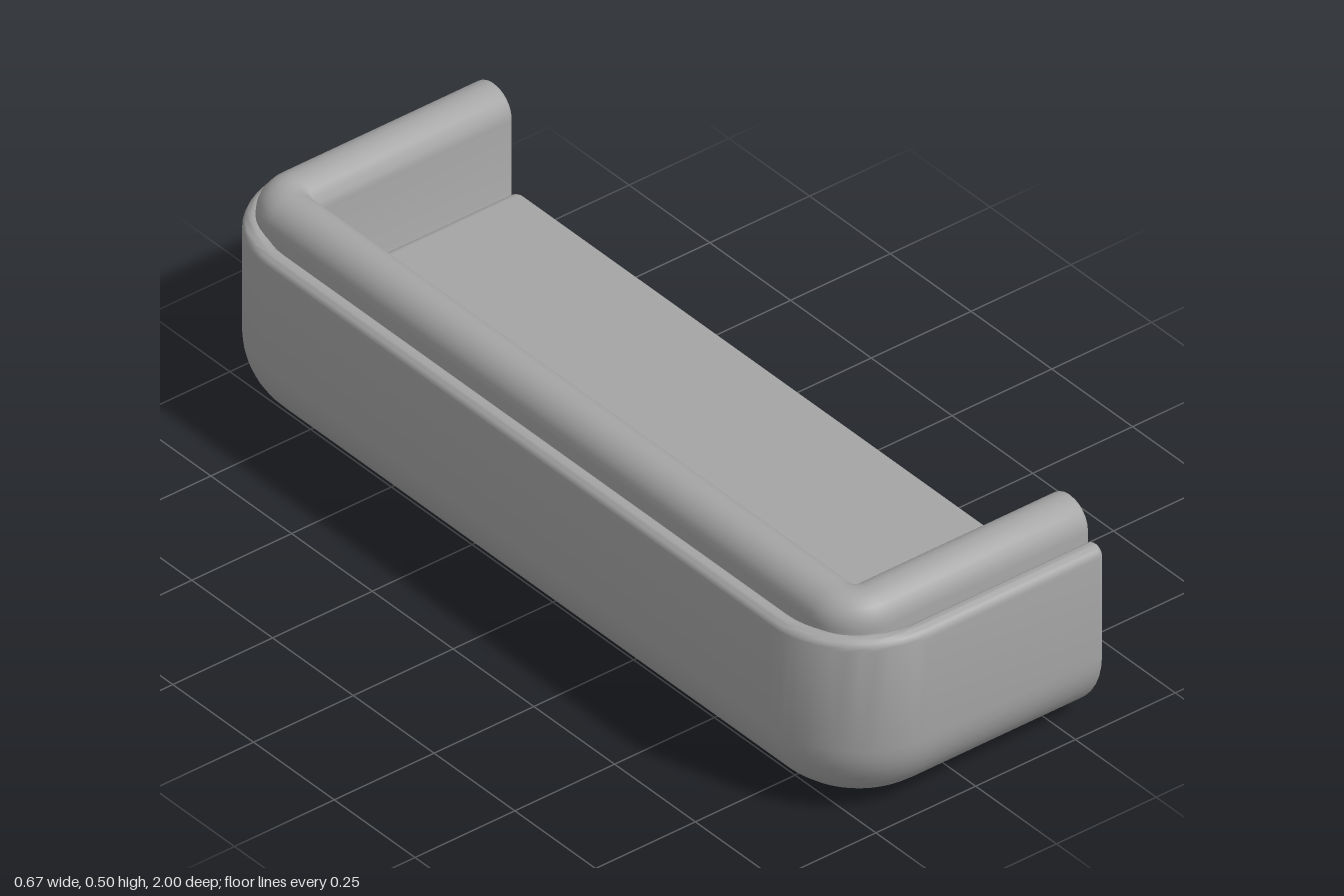
import * as THREE from 'three';
import { toCreasedNormals } from 'three/addons/utils/BufferGeometryUtils.js';
import { RoundedBoxGeometry } from 'three/addons/geometries/RoundedBoxGeometry.js';

const material = new THREE.MeshStandardMaterial({ color: 0xa5a5a5, side: THREE.DoubleSide });
const HALF_PI = Math.PI / 2;

// Wall cross-section as [inset, height], outer floor -> rim -> inner floor, shrunk by e.
function wallProfile(p, e) {
  const pts = [[p.halfWidth, p.bottom + e]];
  const arc = (cd, cy, r, a0, a1, n) => {
    for (let i = 0; i <= n; i++) {
      const a = a0 + (a1 - a0) * i / n;
      pts.push([cd + r * Math.cos(a), cy + r * Math.sin(a)]);
    }
  };
  arc(p.round, p.bottom + p.round, p.round - e, -HALF_PI, -Math.PI, 10);
  arc(p.wall / 2, p.top - p.wall / 2, p.wall / 2 - e, Math.PI, 0, 12);
  arc(p.wall + p.innerRound, p.bottom + p.floor + p.innerRound, p.innerRound + e, Math.PI, Math.PI * 1.5, 8);
  pts.push([p.halfWidth, p.bottom + p.floor - e]);
  return pts;
}

// Tray open at the front (+x): the profile follows a U-shaped plan with round back corners.
function trayLayer(name, p) {
  const straight = p.front - p.bevelDepth;
  const half = [];
  for (let i = 0; i <= 5; i++) {
    const a = HALF_PI * i / 5;
    half.push({ x: straight + p.bevelDepth * Math.cos(a), e: p.bevel * (1 - Math.sin(a)) });
  }
  for (let i = 0; i <= 12; i++) half.push({ angle: HALF_PI * i / 12, e: 0 });
  const columns = [
    ...half.map(c => ({ ...c, side: 1 })),
    ...half.slice().reverse().map(c => ({ ...c, side: -1 })),
  ];

  const positions = [], index = [];
  let rows = 0;
  for (const c of columns) {
    const profile = wallProfile(p, c.e);
    rows = profile.length;
    for (const [d, y] of profile) {
      let x = c.x, z = p.halfWidth - d;
      if (c.angle !== undefined) {
        const r = Math.max(p.corner - d, 0);
        x = Math.min(p.back + d + r * (1 - Math.sin(c.angle)), straight);
        z = z - r * (1 - Math.cos(c.angle));
      }
      positions.push(x, y, z * c.side);
    }
  }
  for (let i = 0; i < columns.length - 1; i++) {
    for (let j = 0; j < rows - 1; j++) {
      const a = i * rows + j, b = a + rows;
      index.push(a, a + 1, b, a + 1, b + 1, b);
    }
  }
  const geometry = new THREE.BufferGeometry();
  geometry.setAttribute('position', new THREE.Float32BufferAttribute(positions, 3));
  geometry.setIndex(index);
  const group = new THREE.Group();
  group.name = name;
  const body = new THREE.Mesh(toCreasedNormals(geometry, 0.6), material);
  body.name = name + 'Body';

  // U-shaped front face
  const outline = wallProfile(p, p.bevel).map(([d, y]) => new THREE.Vector2(p.halfWidth - d, y));
  const mirrored = outline.slice(1, -1).reverse().map(v => new THREE.Vector2(-v.x, v.y));
  const cap = new THREE.ShapeGeometry(new THREE.Shape([...outline, ...mirrored]));
  cap.rotateY(HALF_PI).translate(p.front, 0, 0);
  const face = new THREE.Mesh(cap, material);
  face.name = name + 'Front';
  group.add(body, face);
  return group;
}

export function createModel() {
  const sofa = new THREE.Group();
  sofa.name = 'sofa';

  // Thin outer shell wrapping the bottom, arms and back
  sofa.add(trayLayer('outerShell', {
    halfWidth: 1, back: -0.335, front: 0.323, bottom: 0, top: 0.427,
    wall: 0.047, floor: 0.047, round: 0.167, innerRound: 0.12, corner: 0.22,
    bevel: 0.012, bevelDepth: 0.012,
  }));

  // Padded arms, back and base inside the shell, with a softly bowed front
  sofa.add(trayLayer('paddedLining', {
    halfWidth: 0.951, back: -0.284, front: 0.332, bottom: 0.052, top: 0.495,
    wall: 0.118, floor: 0.112, round: 0.12, innerRound: 0.004, corner: 0.112,
    bevel: 0.035, bevelDepth: 0.014,
  }));

  // Seat cushion, its back edge tucked into the backrest
  const seat = new THREE.Mesh(new RoundedBoxGeometry(0.535, 0.112, 1.664, 5, 0.024), material);
  seat.name = 'seatCushion';
  seat.position.set(0.0675, 0.218, 0);
  sofa.add(seat);

  return sofa;
}
